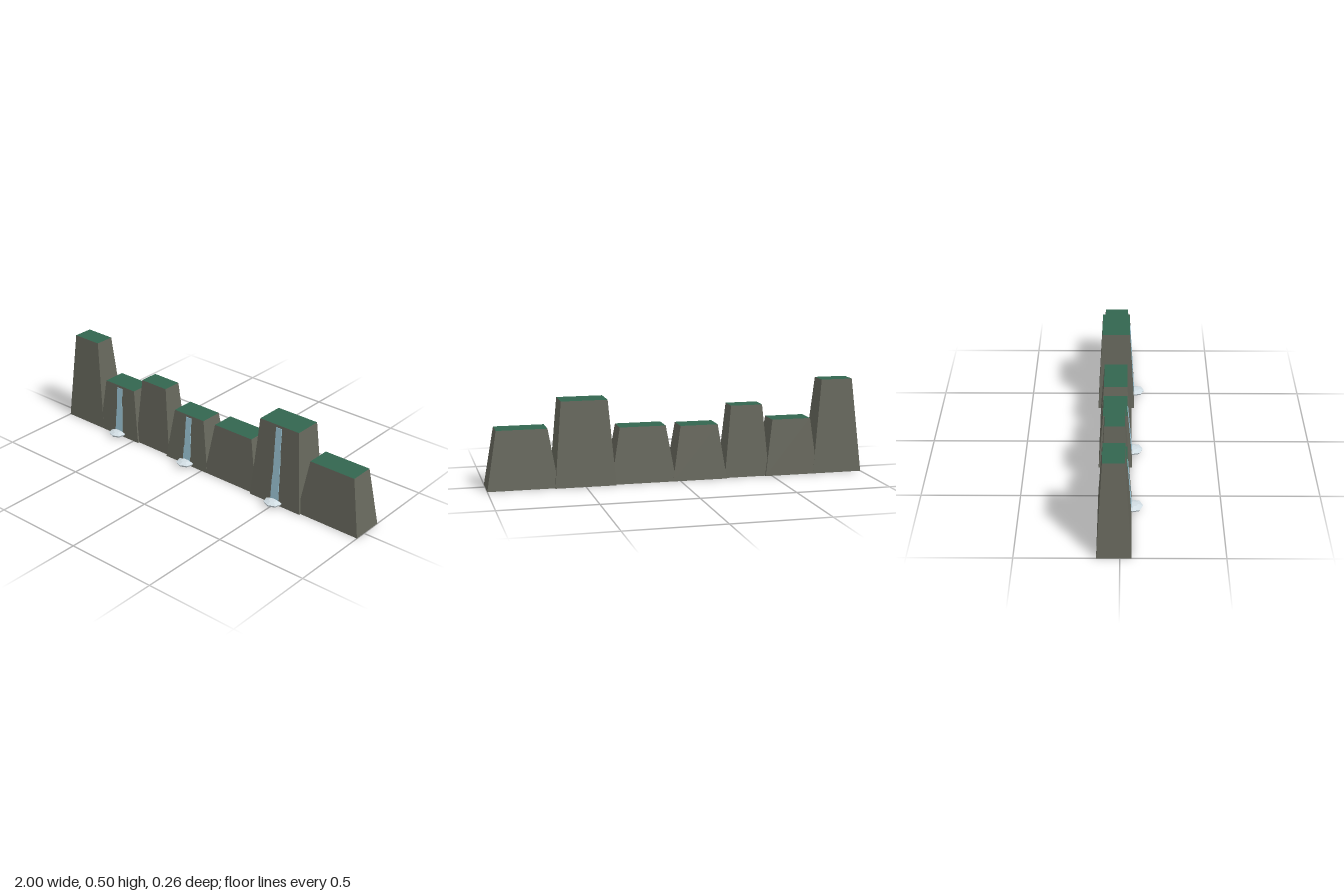
import * as THREE from 'three';

const Z0 = -0.028; // centre line of the cliff row

// centre x, height, half widths (base, top), half depths (base, top), waterfall top
const BLOCKS = [
  [-0.865, 0.5, 0.135, 0.085, 0.083, 0.0525],
  [-0.61, 0.298, 0.145, 0.105, 0.083, 0.062, 0.285],
  [-0.365, 0.38, 0.122, 0.085, 0.073, 0.051],
  [-0.105, 0.287, 0.145, 0.1, 0.086, 0.062, 0.275],
  [0.195, 0.293, 0.172, 0.121, 0.085, 0.062],
  [0.5, 0.442, 0.158, 0.12, 0.099, 0.0745, 0.428],
  [0.818, 0.305, 0.182, 0.13, 0.0885, 0.0645],
];

function mat(name, color) {
  const m = new THREE.MeshStandardMaterial({ color });
  m.name = name;
  return m;
}

// Box whose top face is narrowed
function frustum(h, bw, tw, bd, td) {
  const g = new THREE.BoxGeometry(2, h, 2);
  g.translate(0, h / 2, 0);
  const p = g.attributes.position;
  for (let i = 0; i < p.count; i++) {
    const top = p.getY(i) > h / 2;
    p.setX(i, p.getX(i) * (top ? tw : bw));
    p.setZ(i, p.getZ(i) * (top ? td : bd));
  }
  g.computeVertexNormals();
  return g;
}

// Uneven ribbon of water, widening downwards
function ribbon(top) {
  const left = [[-0.026, 0], [-0.023, 0.35], [-0.02, 0.36], [-0.018, 1]];
  const right = [[0.018, 1], [0.018, 0.62], [0.021, 0.6], [0.024, 0]];
  const y0 = 0.015;
  const pts = [...left, ...right].map(([x, t]) => new THREE.Vector2(x, y0 + t * (top - y0)));
  return new THREE.ExtrudeGeometry(new THREE.Shape(pts), { depth: 0.003, bevelEnabled: false });
}

// Low faceted mound of foam
function foamMound() {
  const profile = [[0, 0.01], [0.043, 0.01], [0.05, 0.021], [0.022, 0.031], [0, 0.032]];
  const g = new THREE.LatheGeometry(profile.map(([x, y]) => new THREE.Vector2(x, y)), 7);
  g.scale(1, 1, 0.9);
  const flat = g.toNonIndexed();
  flat.computeVertexNormals();
  return flat;
}

export function createModel() {
  const model = new THREE.Group();
  model.name = 'cliffRow';
  const rock = mat('rock', 0x66675c);
  const grass = mat('grass', 0x33664f);
  const water = mat('water', 0x9cc6d6);
  const foam = mat('foam', 0xd0dce2);
  rock.flatShading = foam.flatShading = true;
  const faces = [rock, rock, grass, rock, rock, rock]; // only the top is grassy

  BLOCKS.forEach(([x, h, bw, tw, bd, td, fall], i) => {
    const group = new THREE.Group();
    group.name = 'cliff' + (i + 1);
    group.position.set(x, 0, Z0);
    const block = new THREE.Mesh(frustum(h, bw, tw, bd, td), faces);
    block.name = 'cliffBlock';
    group.add(block);

    if (fall) {
      // Ribbon leans back along the sloping front face
      const stream = new THREE.Mesh(ribbon(fall), water);
      stream.name = 'waterfall';
      stream.position.z = bd;
      stream.rotation.x = -Math.atan2(bd - td, h);
      const splash = new THREE.Mesh(foamMound(), foam);
      splash.name = 'splash';
      splash.position.z = bd + 0.013;
      group.add(stream, splash);
    }
    model.add(group);
  });
  return model;
}
